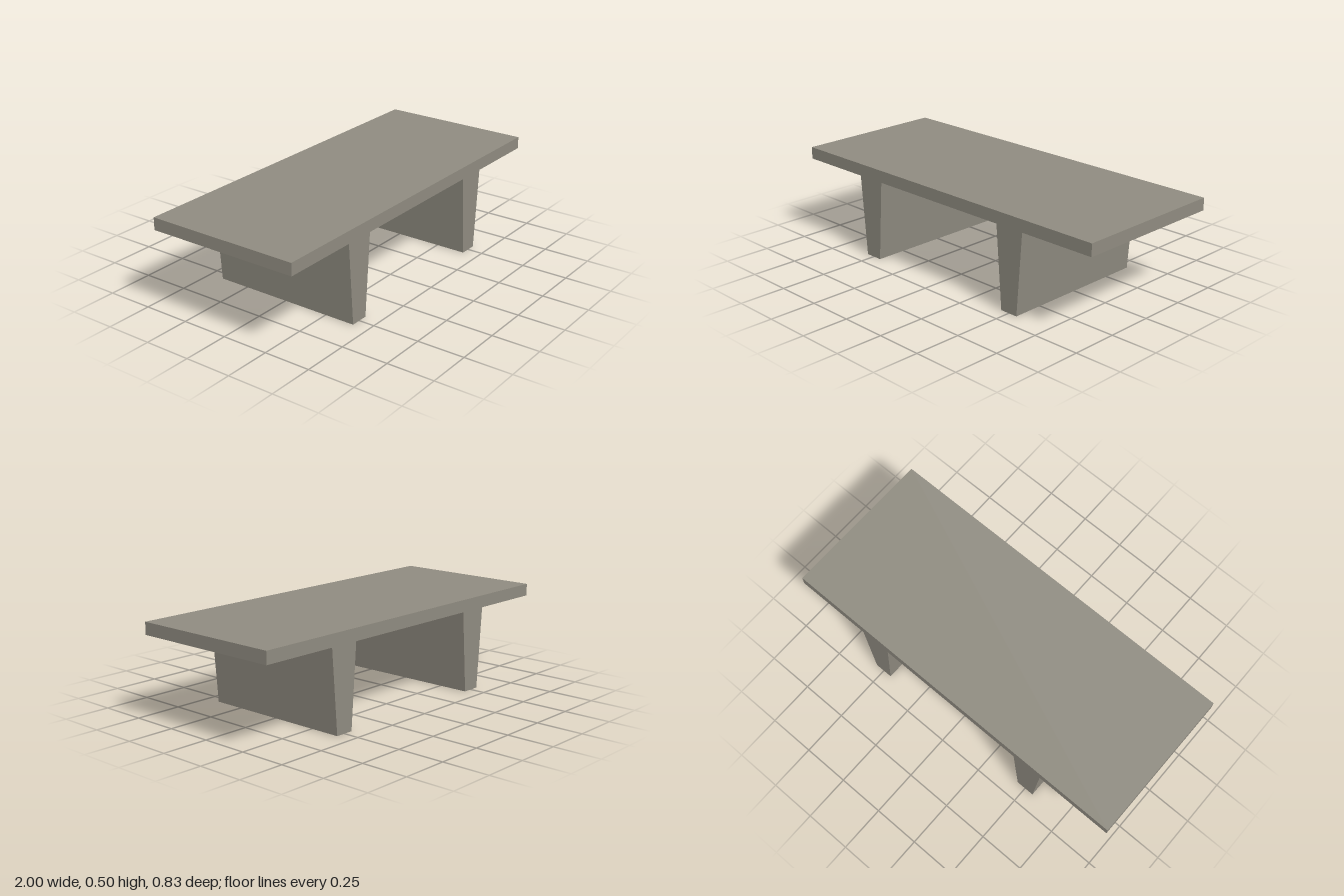
import * as THREE from 'three';

const HALF_WIDTH = 1, HEIGHT = 0.5, UNDERSIDE = 0.435, DEPTH = 0.83;
const STEM_X = 0.5, STEM_TOP = 0.083, STEM_FOOT = 0.05; // stem centre and half widths

export function createModel() {
  const concrete = new THREE.MeshStandardMaterial({ color: 0x8f8b80 });
  concrete.name = 'concrete';

  // Double-tee cross-section: flat deck with two tapered stems
  const profile = new THREE.Shape();
  profile.moveTo(-HALF_WIDTH, HEIGHT);
  profile.lineTo(-HALF_WIDTH, UNDERSIDE);
  for (const x of [-STEM_X, STEM_X]) {
    profile.lineTo(x - STEM_TOP, UNDERSIDE);
    profile.lineTo(x - STEM_FOOT, 0);
    profile.lineTo(x + STEM_FOOT, 0);
    profile.lineTo(x + STEM_TOP, UNDERSIDE);
  }
  profile.lineTo(HALF_WIDTH, UNDERSIDE);
  profile.lineTo(HALF_WIDTH, HEIGHT);
  profile.closePath();

  // Constant section along the full depth
  const geometry = new THREE.ExtrudeGeometry(profile, { depth: DEPTH, bevelEnabled: false });
  geometry.translate(0, 0, -DEPTH / 2);

  const beam = new THREE.Mesh(geometry, concrete);
  beam.name = 'doubleTeeBeam';

  const model = new THREE.Group();
  model.name = 'doubleTeeSlab';
  model.add(beam);
  return model;
}
